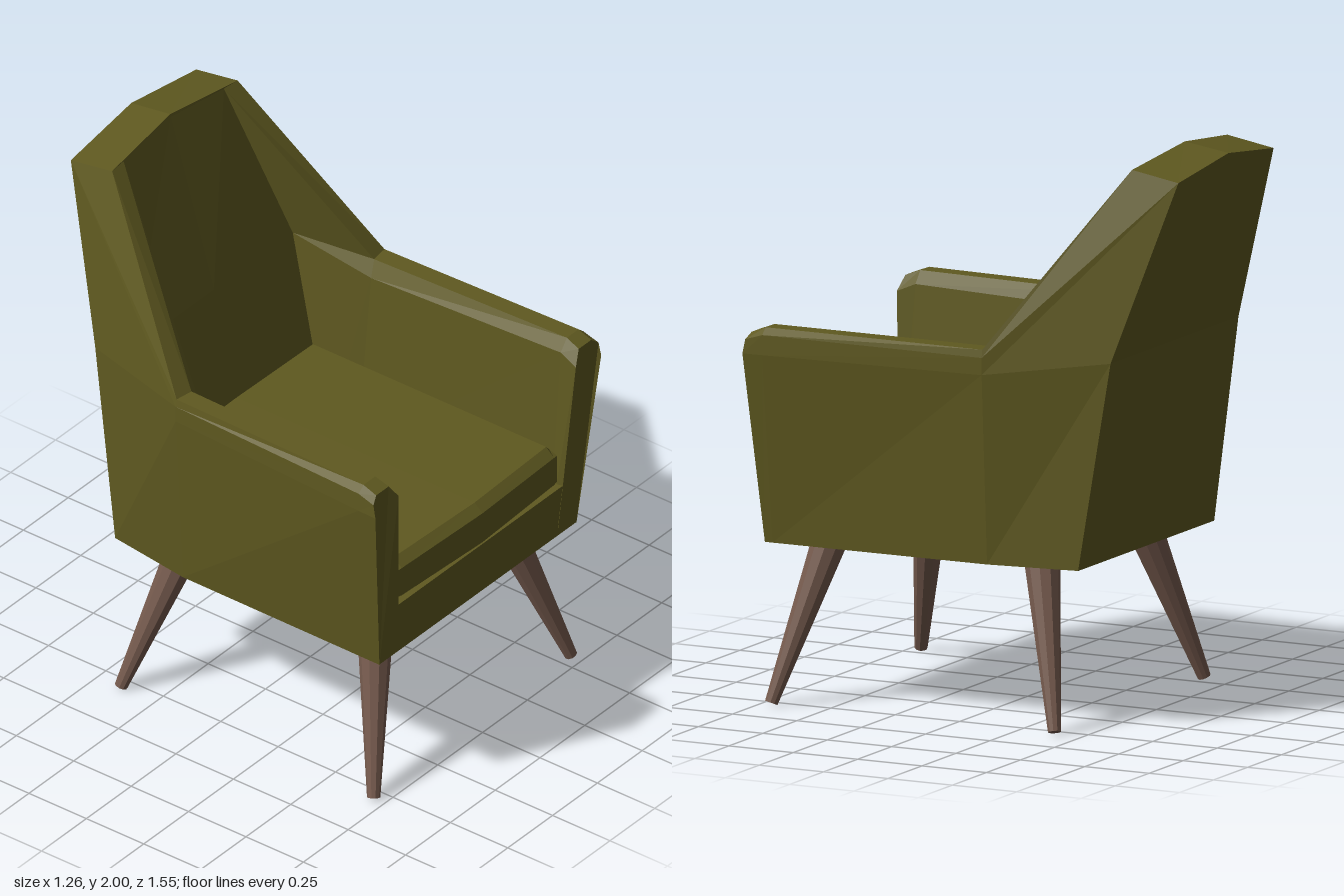
import * as THREE from 'three';

const fabric = new THREE.MeshStandardMaterial({ color: 0x5f5920, flatShading: true });
const wood = new THREE.MeshStandardMaterial({ color: 0x755a4d, flatShading: true });

// Skin a row of closed cross-sections and cap both ends
function loft(name, sections) {
  const pos = [];
  const tri = (a, b, c) => pos.push(...a, ...b, ...c);
  const n = sections[0].length;
  for (let k = 0; k < sections.length - 1; k++) {
    const s = sections[k], t = sections[k + 1];
    for (let i = 0; i < n; i++) {
      const j = (i + 1) % n;
      tri(s[i], t[i], t[j]);
      tri(s[i], t[j], s[j]);
    }
  }
  const first = sections[0], last = sections[sections.length - 1];
  for (let i = 1; i < n - 1; i++) {
    tri(first[0], first[i], first[i + 1]);
    tri(last[0], last[i + 1], last[i]);
  }
  const geo = new THREE.BufferGeometry();
  geo.setAttribute('position', new THREE.Float32BufferAttribute(pos, 3));
  geo.computeVertexNormals();
  const mesh = new THREE.Mesh(geo, fabric);
  mesh.name = name;
  return mesh;
}

const mirror = (section) => section.map(([x, y, z]) => [-x, y, z]);

// Arms and back as one shell: left arm front -> centre of back -> right arm front.
// Each section: outer bottom, outer middle, outer top, crown outer, crown inner, inner top, inner bottom
function createShell() {
  const half = [
    [[0.55, 0.57, 0.73], [0.63, 1.24, 0.775], [0.628, 1.29, 0.765], [0.6, 1.312, 0.755],
      [0.53, 1.312, 0.755], [0.495, 1.26, 0.77], [0.445, 0.6, 0.732]],
    [[0.55, 0.57, 0.7], [0.628, 1.24, 0.7], [0.627, 1.31, 0.7], [0.6, 1.333, 0.7],
      [0.535, 1.333, 0.7], [0.5, 1.29, 0.7], [0.44, 0.6, 0.7]],
    [[0.545, 0.57, -0.13], [0.585, 1.24, -0.13], [0.585, 1.3, -0.13], [0.58, 1.328, -0.13],
      [0.51, 1.328, -0.12], [0.48, 1.27, -0.11], [0.43, 0.6, -0.13]],
    [[0.5, 0.57, -0.46], [0.47, 1.3, -0.57], [0.35, 1.93, -0.77], [0.35, 1.96, -0.59],
      [0.28, 1.962, -0.595], [0.44, 1.35, -0.42], [0.41, 0.6, -0.24]],
  ];
  const centre = [[0, 0.57, -0.46], [0, 1.3, -0.57], [0, 1.975, -0.78], [0, 2, -0.61],
    [0, 1.99, -0.608], [0, 1.35, -0.42], [0, 0.6, -0.24]];
  return loft('armsAndBack', [...half, centre, ...half.slice().reverse().map(mirror)]);
}

// Seat frame between the arms, forming the front rail and the underside
function createSeatBase() {
  const section = (xb, xt, zb, zt) =>
    [[xb, 0.57, zb], [xt, 0.775, zt], [-xt, 0.775, zt], [-xb, 0.57, zb]];
  return loft('seatBase', [section(0.55, 0.46, 0.729, 0.741), section(0.5, 0.42, -0.459, -0.4)]);
}

// Cushion with bevelled top edges and a slightly bowed front
function createCushion() {
  const section = (x, top, lip, zf) =>
    [[x, 0.792, zf], [x, 0.792, -0.36], [x, top, -0.36], [x, top, zf - 0.035], [x, lip, zf]];
  const half = [section(0.448, 0.912, 0.9, 0.725), section(0.425, 0.936, 0.905, 0.73)];
  return loft('seatCushion', [...half, section(0, 0.942, 0.912, 0.75), ...half.slice().reverse().map(mirror)]);
}

// Tapered leg running from a hidden top to a splayed foot
function createLeg(name, top, foot) {
  const a = new THREE.Vector3(...top), b = new THREE.Vector3(...foot);
  const dir = a.clone().sub(b);
  const leg = new THREE.Mesh(new THREE.CylinderGeometry(0.066, 0.023, dir.length(), 10), wood);
  leg.position.copy(a).add(b).multiplyScalar(0.5);
  leg.quaternion.setFromUnitVectors(new THREE.Vector3(0, 1, 0), dir.normalize());
  leg.name = name;
  return leg;
}

export function createModel() {
  const chair = new THREE.Group();
  chair.name = 'armchair';
  chair.add(createShell(), createSeatBase(), createCushion());
  for (const [side, s] of [['Left', 1], ['Right', -1]]) {
    chair.add(createLeg('front' + side + 'Leg', [s * 0.355, 0.61, 0.56], [s * 0.55, 0.009, 0.705]));
    chair.add(createLeg('back' + side + 'Leg', [s * 0.355, 0.61, -0.24], [s * 0.55, 0.009, -0.395]));
  }
  return chair;
}
